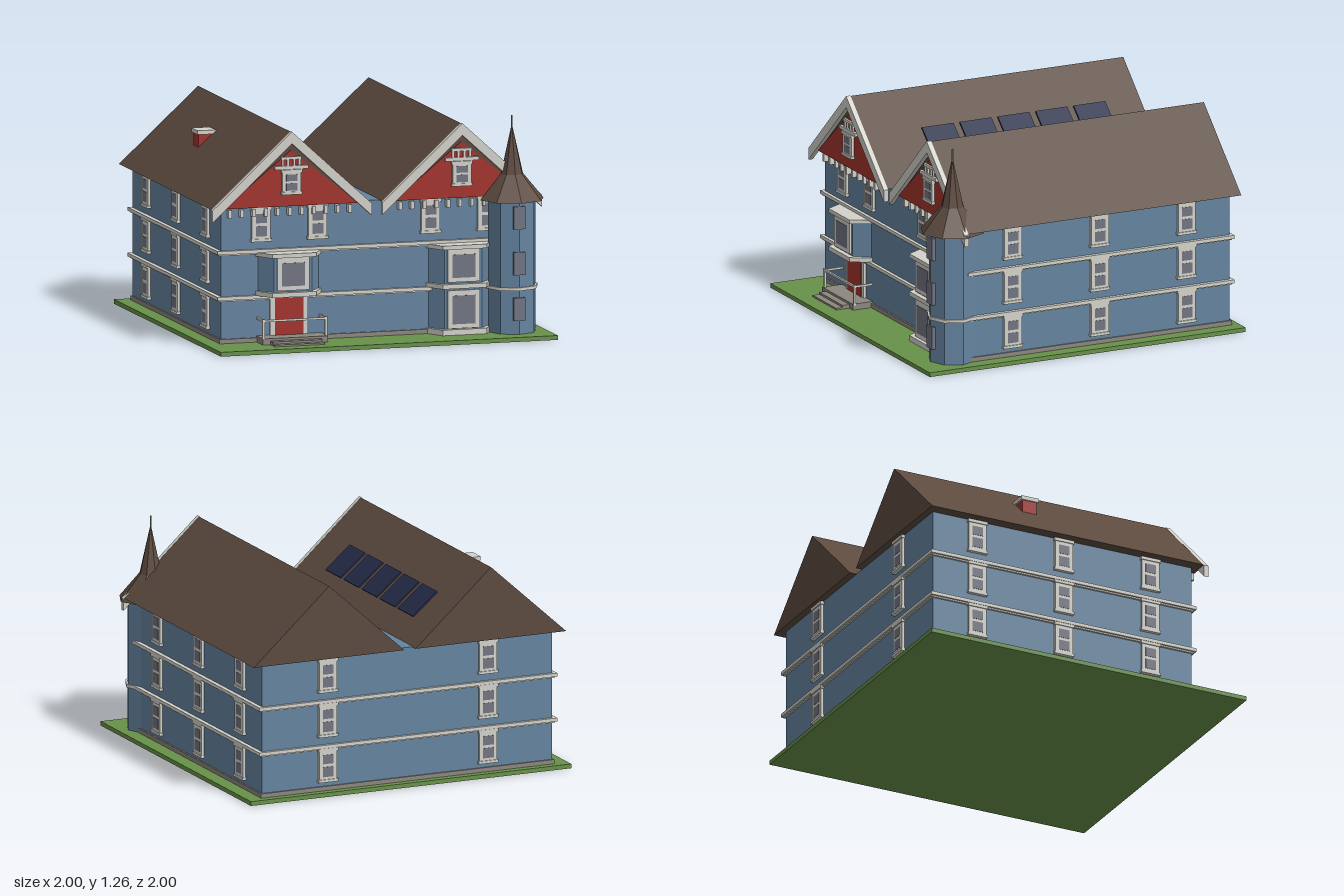
import * as THREE from 'three';

const mat = (name, color) => Object.assign(new THREE.MeshStandardMaterial({ color }), { name });

export function createModel() {
  const root = new THREE.Group();
  root.name = 'house';
  const blue = mat('wallBlue', 0x6584a0), white = mat('trimWhite', 0xd3d2ca);
  const red = mat('gableRed', 0xa2322c), brown = mat('roofBrown', 0x5c4a3f);
  const green = mat('lawnGreen', 0x68914a), glass = mat('glassGrey', 0x727482);
  const navy = mat('panelNavy', 0x232b48), stone = mat('stoneGrey', 0x8c877f);
  [blue, brown].forEach(m => { m.flatShading = true; });

  const add = (parent, name, geo, m) => {
    const mesh = new THREE.Mesh(geo, m);
    mesh.name = name;
    parent.add(mesh);
    return mesh;
  };
  // Box given by its extents on each axis
  const box = (parent, name, m, x0, x1, y0, y1, z0, z1) => {
    const b = add(parent, name, new THREE.BoxGeometry(x1 - x0, y1 - y0, z1 - z0), m);
    b.position.set((x0 + x1) / 2, (y0 + y1) / 2, (z0 + z1) / 2);
    return b;
  };
  const polygon = pts => new THREE.Shape(pts.map(p => new THREE.Vector2(...p)));
  // Outline in x,y pushed from z0 to z1
  const slab = (parent, name, m, pts, z0, z1) => {
    const g = new THREE.ExtrudeGeometry(polygon(pts), { depth: z1 - z0, bevelEnabled: false });
    return add(parent, name, g.translate(0, 0, z0), m);
  };
  // Outline in x,z raised from y0 to y1
  const plinth = (parent, name, m, pts, y0, y1) => {
    const g = new THREE.ExtrudeGeometry(polygon(pts.map(([x, z]) => [x, -z])), { depth: y1 - y0, bevelEnabled: false });
    return add(parent, name, g.rotateX(-Math.PI / 2).translate(0, y0, 0), m);
  };
  // Sash window facing +z, turned by angle
  const sash = (name, x, y, z, angle = 0, w = 0.11, h = 0.19) => {
    const g = new THREE.Group();
    g.name = name;
    box(g, 'frame', white, -w / 2, w / 2, -h / 2, h / 2, -0.01, 0.016);
    box(g, 'lintel', white, -w / 2 - 0.006, w / 2 + 0.006, h / 2 - 0.014, h / 2 + 0.004, -0.01, 0.022);
    box(g, 'sill', white, -w / 2 - 0.006, w / 2 + 0.006, -h / 2 - 0.004, -h / 2 + 0.012, -0.01, 0.022);
    const px = w * 0.3;
    box(g, 'lowerPane', glass, -px, px, -h * 0.36, -h * 0.05, 0.012, 0.018);
    box(g, 'upperPane', glass, -px, px, h * 0.04, h * 0.32, 0.012, 0.018);
    g.position.set(x, y, z);
    g.rotation.y = angle;
    root.add(g);
  };

  const FRONT = 0.7, BACK = -0.945, SIDE = 0.905;

  // Lawn, foundation, walls and belt courses
  box(root, 'lawn', green, -1, 1, 0, 0.025, -1, 1);
  box(root, 'foundation', stone, -0.915, 0.915, 0.02, 0.05, BACK - 0.01, FRONT + 0.01);
  box(root, 'walls', blue, -SIDE, SIDE, 0.05, 0.803, BACK, FRONT);
  for (const y of [0.283, 0.545]) {
    box(root, 'beltCourse', white, -0.93, 0.93, y - 0.01, y + 0.01, BACK - 0.02, FRONT + 0.02);
    box(root, 'beltMoulding', white, -0.918, 0.918, y - 0.018, y - 0.01, BACK - 0.01, FRONT + 0.01);
  }

  // Side, back and upper front windows
  for (const y of [0.175, 0.438, 0.698]) {
    for (const s of [-1, 1]) {
      for (const z of [0.433, -0.118, -0.668]) sash('sideWindow', s * SIDE, y, z, s * Math.PI / 2);
      sash('backWindow', s * 0.5, y, BACK, Math.PI);
    }
  }
  for (const x of [-0.67, -0.335, 0.335, 0.67]) sash('frontWindow', x, 0.698, FRONT);

  // Twin gabled roofs with decorated front gables
  for (const cx of [-0.505, 0.505]) {
    const gable = new THREE.Group();
    gable.name = 'gable';
    gable.position.x = cx;
    root.add(gable);
    slab(gable, 'roof', brown, [[-0.47, 0.8], [0.47, 0.8], [0, 1.225]], -0.985, 0.742);
    slab(gable, 'gableWall', red, [[-0.4, 0.8], [0.4, 0.8], [0, 1.12]], 0.735, 0.748);
    slab(gable, 'bargeboard', white,
      [[-0.473, 0.728], [0, 1.16], [0.473, 0.728], [0.473, 0.797], [0, 1.228], [-0.473, 0.797]], 0.742, 0.77);
    for (let i = -5; i <= 5; i++) {
      const x = i * 0.071;
      box(gable, 'bracket', white, x - 0.01, x + 0.01, 0.745, 0.79, FRONT - 0.01, 0.735);
    }
    // Ornament at the gable top
    box(gable, 'gableBeam', white, -0.1, 0.1, 1.013, 1.033, 0.74, 0.765);
    box(gable, 'gableTie', white, -0.06, 0.06, 1.068, 1.084, 0.74, 0.76);
    for (const x of [-0.05, -0.018, 0.018, 0.05])
      box(gable, 'gablePost', white, x - 0.007, x + 0.007, 1.03, 1.075, 0.74, 0.758);
    sash('gableWindow', cx, 0.94, 0.748, 0, 0.11, 0.135);
  }

  // Chimney
  box(root, 'chimney', red, -0.75, -0.66, 0.95, 1.08, -0.295, -0.205);
  box(root, 'chimneyCap', white, -0.76, -0.65, 1.077, 1.1, -0.305, -0.195);

  // Solar panels along the inner slope
  for (let i = 0; i < 5; i++) {
    const p = add(root, 'solarPanel', new THREE.BoxGeometry(0.2, 0.01, 0.2), navy);
    p.position.set(-0.203, 0.988, -0.655 + i * 0.24);
    p.rotation.z = -0.7;
  }

  // Bay windows: one storey above the door, two storeys on the other side
  const bayPlan = (cx, back, front, z) => [[cx - back, 0.69], [cx - front, z], [cx + front, z], [cx + back, 0.69]];
  const bay = (cx, y0, y1) => {
    plinth(root, 'bayWall', blue, bayPlan(cx, 0.188, 0.112, 0.785), y0, y1);
    const top = y1 - 0.012, bottom = y0 + 0.015, z = 0.785;
    box(root, 'bayWindowFrame', white, cx - 0.095, cx + 0.095, bottom, top, z - 0.01, z + 0.012);
    box(root, 'bayGlass', glass, cx - 0.068, cx + 0.068, bottom + 0.025, top - 0.03, z + 0.008, z + 0.015);
  };
  const ledge = (cx, y0, y1) => plinth(root, 'bayLedge', white, bayPlan(cx, 0.2, 0.13, 0.815), y0, y1);
  bay(-0.505, 0.31, 0.525);
  bay(0.505, 0.31, 0.525);
  bay(0.505, 0.045, 0.29);
  for (const cx of [-0.505, 0.505]) {
    ledge(cx, 0.29, 0.316);
    ledge(cx, 0.515, 0.538);
  }
  ledge(0.505, 0.025, 0.057);

  // Door, porch, steps and railing
  box(root, 'doorFrame', white, -0.617, -0.393, 0.05, 0.29, FRONT - 0.01, FRONT + 0.015);
  box(root, 'door', red, -0.59, -0.42, 0.055, 0.288, FRONT + 0.01, FRONT + 0.019);
  box(root, 'porch', stone, -0.695, -0.31, 0.02, 0.06, FRONT, 0.825);
  box(root, 'upperStep', stone, -0.65, -0.355, 0.02, 0.047, 0.82, 0.867);
  box(root, 'lowerStep', stone, -0.65, -0.355, 0.02, 0.035, 0.86, 0.908);
  for (const x of [-0.688, -0.317]) {
    box(root, 'railPost', white, x - 0.007, x + 0.007, 0.05, 0.17, 0.805, 0.819);
    box(root, 'sideRail', white, x - 0.006, x + 0.006, 0.154, 0.166, FRONT, 0.815);
  }
  box(root, 'frontRail', white, -0.69, -0.315, 0.154, 0.166, 0.806, 0.818);

  // Eight-sided corner turret with a flared spire
  const turret = new THREE.Group();
  turret.name = 'turret';
  turret.position.set(0.802, 0, 0.757);
  root.add(turret);
  const drum = (name, m, r0, r1, y0, y1, n = 8) => {
    const c = add(turret, name, new THREE.CylinderGeometry(r1, r0, y1 - y0, n), m);
    c.position.y = (y0 + y1) / 2;
  };
  drum('turretWall', blue, 0.14, 0.14, 0.02, 0.79);
  drum('turretBelt', white, 0.152, 0.152, 0.275, 0.293);
  drum('turretEaves', brown, 0.187, 0.062, 0.78, 0.93);
  drum('turretSpire', brown, 0.075, 0.003, 0.885, 1.2);
  drum('finial', stone, 0.005, 0.005, 1.18, 1.26, 8);
  for (const y of [0.17, 0.43, 0.692])
    box(turret, 'turretWindow', glass, -0.034, 0.034, y - 0.065, y + 0.065, 0.115, 0.146);

  return root;
}
